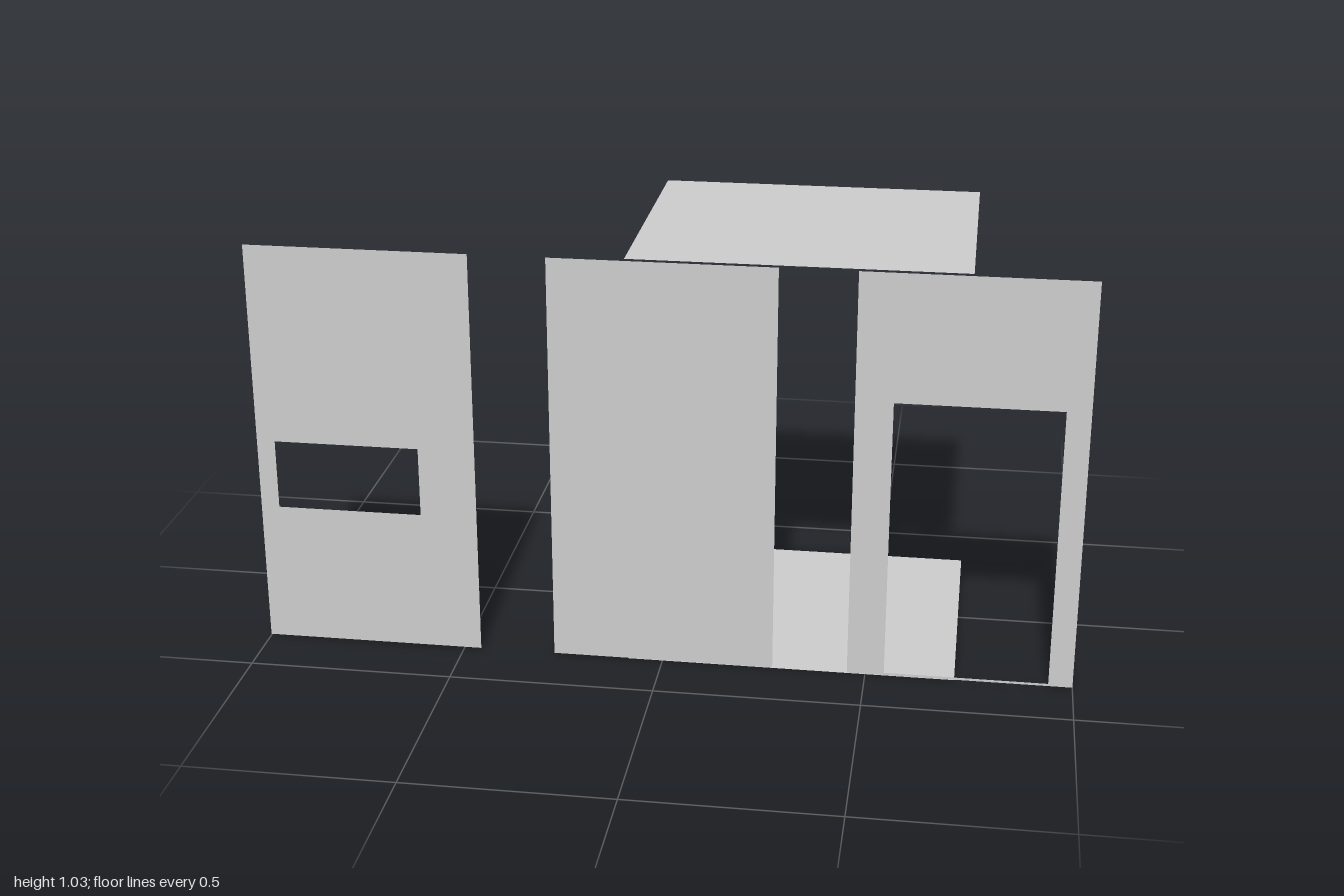
import * as THREE from 'three';

const material = new THREE.MeshStandardMaterial({ color: 0xcccccc, side: THREE.DoubleSide });

// Traces a rectangle into a Shape or Path
function rect(path, x0, y0, x1, y1) {
  path.moveTo(x0, y0);
  path.lineTo(x1, y0);
  path.lineTo(x1, y1);
  path.lineTo(x0, y1);
  path.closePath();
  return path;
}

// Flat upright panel with an optional rectangular opening [x0, y0, x1, y1]
function wall(name, x0, x1, opening) {
  const shape = rect(new THREE.Shape(), x0, 0.003, x1, 1.03);
  if (opening) shape.holes.push(rect(new THREE.Path(), ...opening));
  const mesh = new THREE.Mesh(new THREE.ShapeGeometry(shape), material);
  mesh.name = name;
  mesh.position.z = 0.346;
  return mesh;
}

// Flat horizontal panel facing up
function slab(name, y) {
  const geometry = new THREE.PlaneGeometry(0.803, 0.689).rotateX(-Math.PI / 2);
  const mesh = new THREE.Mesh(geometry, material);
  mesh.name = name;
  mesh.position.set(0.315, y, -0.002);
  return mesh;
}

export function createModel() {
  const model = new THREE.Group();
  model.name = 'roomPanels';
  model.add(
    wall('windowWall', -1, -0.457, [-0.955, 0.357, -0.597, 0.531]),
    wall('plainWall', -0.271, 0.273),
    wall('doorWall', 0.456, 1, [0.546, 0.009, 0.942, 0.713]),
    slab('floor', 0),
    slab('ceiling', 1.034),
  );
  return model;
}
